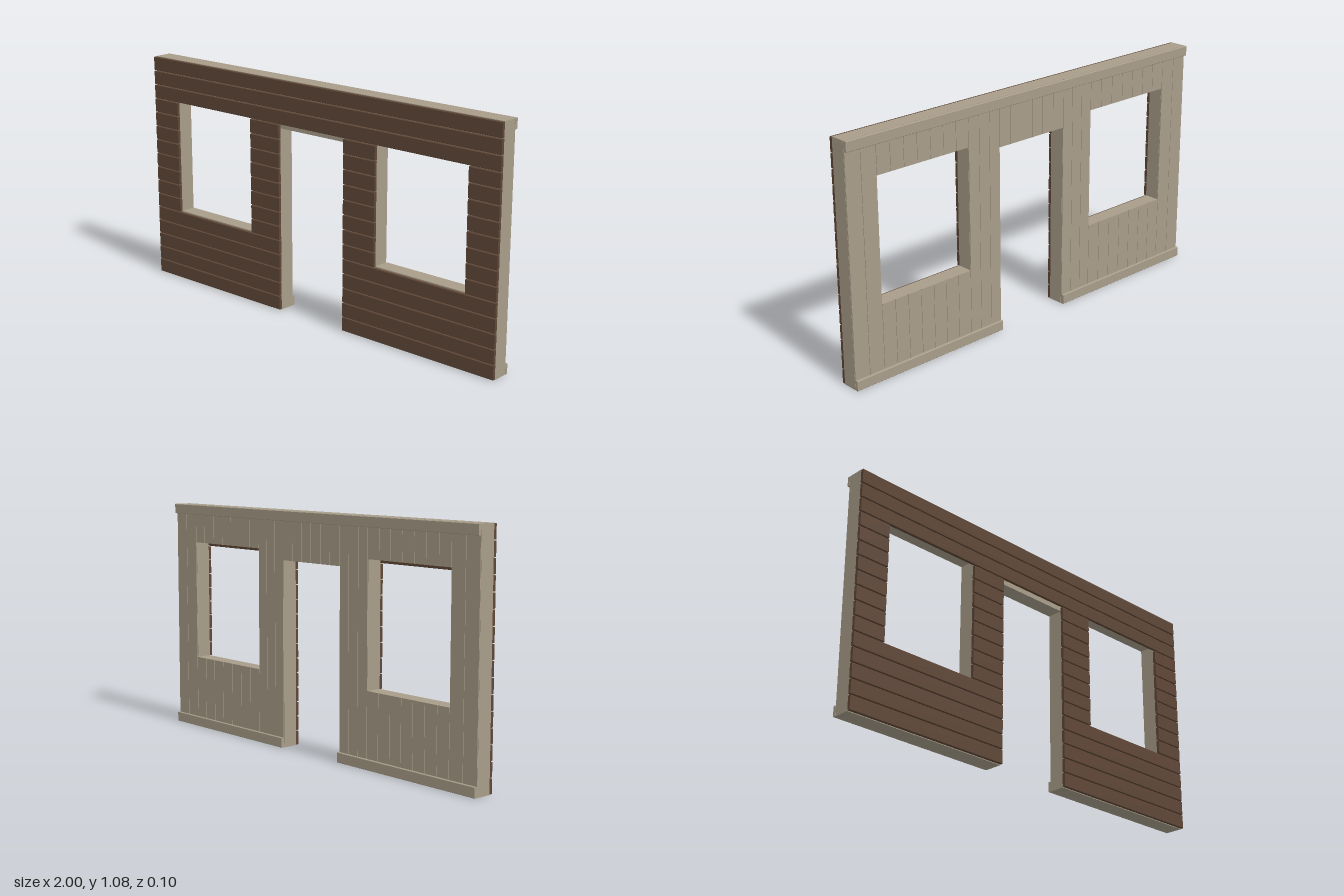
import * as THREE from 'three';

const mat = (name, color) => {
  const m = new THREE.MeshStandardMaterial({ color });
  m.name = name;
  return m;
};

const H = 1.08, ROWS = 16, PITCH = H / ROWS;
const DOOR = 0.19, WIN0 = 0.365, WIN1 = 0.847; // half door width, window sides
const SILL = 0.34, WIN_TOP = 0.9, DOOR_TOP = 0.858;
const CORE_FRONT = 0.037, CORE_BACK = -0.033, BOARD_BACK = -0.037;

export function createModel() {
  const group = new THREE.Group();
  const siding = mat('brown siding', 0x5f4737);
  const plaster = mat('beige timber', 0xa89d89);

  const add = (parent, name, geometry, material) => {
    const mesh = new THREE.Mesh(geometry, material);
    mesh.name = name;
    parent.add(mesh);
    return mesh;
  };
  const subgroup = (name) => {
    const g = new THREE.Group();
    g.name = name;
    group.add(g);
    return g;
  };
  const box = (parent, name, x0, x1, y0, y1, z0, z1) =>
    add(parent, name, new THREE.BoxGeometry(x1 - x0, y1 - y0, z1 - z0), plaster)
      .position.set((x0 + x1) / 2, (y0 + y1) / 2, (z0 + z1) / 2);

  // Bar along x whose long edges are chamfered
  const bar = (parent, name, x0, x1, y0, y1, z0, z1, c, material) => {
    const s = new THREE.Shape([
      [z0 + c, y0], [z1 - c, y0], [z1, y0 + c], [z1, y1 - c],
      [z1 - c, y1], [z0 + c, y1], [z0, y1 - c], [z0, y0 + c],
    ].map(([a, b]) => new THREE.Vector2(a, b)));
    const g = new THREE.ExtrudeGeometry(s, { depth: x1 - x0, bevelEnabled: false });
    g.rotateY(-Math.PI / 2).translate(x1, 0, 0);
    add(parent, name, g, material);
  };

  // Wall core with doorway and two windows
  const outline = new THREE.Shape([
    [-1, 0], [-DOOR, 0], [-DOOR, DOOR_TOP], [DOOR, DOOR_TOP],
    [DOOR, 0], [1, 0], [1, H], [-1, H],
  ].map(([x, y]) => new THREE.Vector2(x, y)));
  for (const [a, b] of [[-WIN1, -WIN0], [WIN0, WIN1]]) {
    outline.holes.push(new THREE.Path([
      [a, SILL], [a, WIN_TOP], [b, WIN_TOP], [b, SILL],
    ].map(([x, y]) => new THREE.Vector2(x, y))));
  }
  const core = new THREE.ExtrudeGeometry(outline, { depth: CORE_FRONT - CORE_BACK, bevelEnabled: false });
  add(group, 'wallCore', core.translate(0, 0, CORE_BACK), plaster);

  // Horizontal planks on the front, cut around the openings
  const planks = subgroup('frontSiding');
  for (let i = 0; i < ROWS; i++) {
    const spans = i < 5 ? [[-1, -DOOR], [DOOR, 1]]
      : i < 13 ? [[-1, -WIN1], [-WIN0, -DOOR], [DOOR, WIN0], [WIN1, 1]]
      : [[-1, 1]];
    for (const [a, b] of spans) {
      bar(planks, 'sidingPlank', a, b, i * PITCH + 0.002, (i + 1) * PITCH - 0.002,
        CORE_FRONT, 0.051, 0.002, siding);
    }
  }

  // Thin vertical boards on the back
  const boards = subgroup('backPanelling');
  const panel = (x0, x1, y0, y1, n) => {
    const w = (x1 - x0) / n;
    for (let i = 0; i < n; i++) {
      box(boards, 'backBoard', x0 + i * w + 0.001, x0 + (i + 1) * w - 0.001, y0, y1, BOARD_BACK, CORE_BACK);
    }
  };
  for (const s of [-1, 1]) {
    const side = (a, b, ...rest) => panel(Math.min(s * a, s * b), Math.max(s * a, s * b), ...rest);
    side(WIN1, 1, 0, H, 2);
    side(DOOR, WIN0, 0, H, 3);
    side(WIN0, WIN1, 0, SILL, 7);
    side(WIN0, WIN1, WIN_TOP, H, 7);
  }
  panel(-DOOR, DOOR, DOOR_TOP, H, 6);

  // Top and bottom trims on the back
  const trims = subgroup('backTrim');
  bar(trims, 'topTrim', -1, 1, H - 0.046, H, -0.05, BOARD_BACK, 0.002, plaster);
  bar(trims, 'skirtingRight', -1, -DOOR, 0, 0.046, -0.05, BOARD_BACK, 0.002, plaster);
  bar(trims, 'skirtingLeft', DOOR, 1, 0, 0.046, -0.05, BOARD_BACK, 0.002, plaster);

  return group;
}
